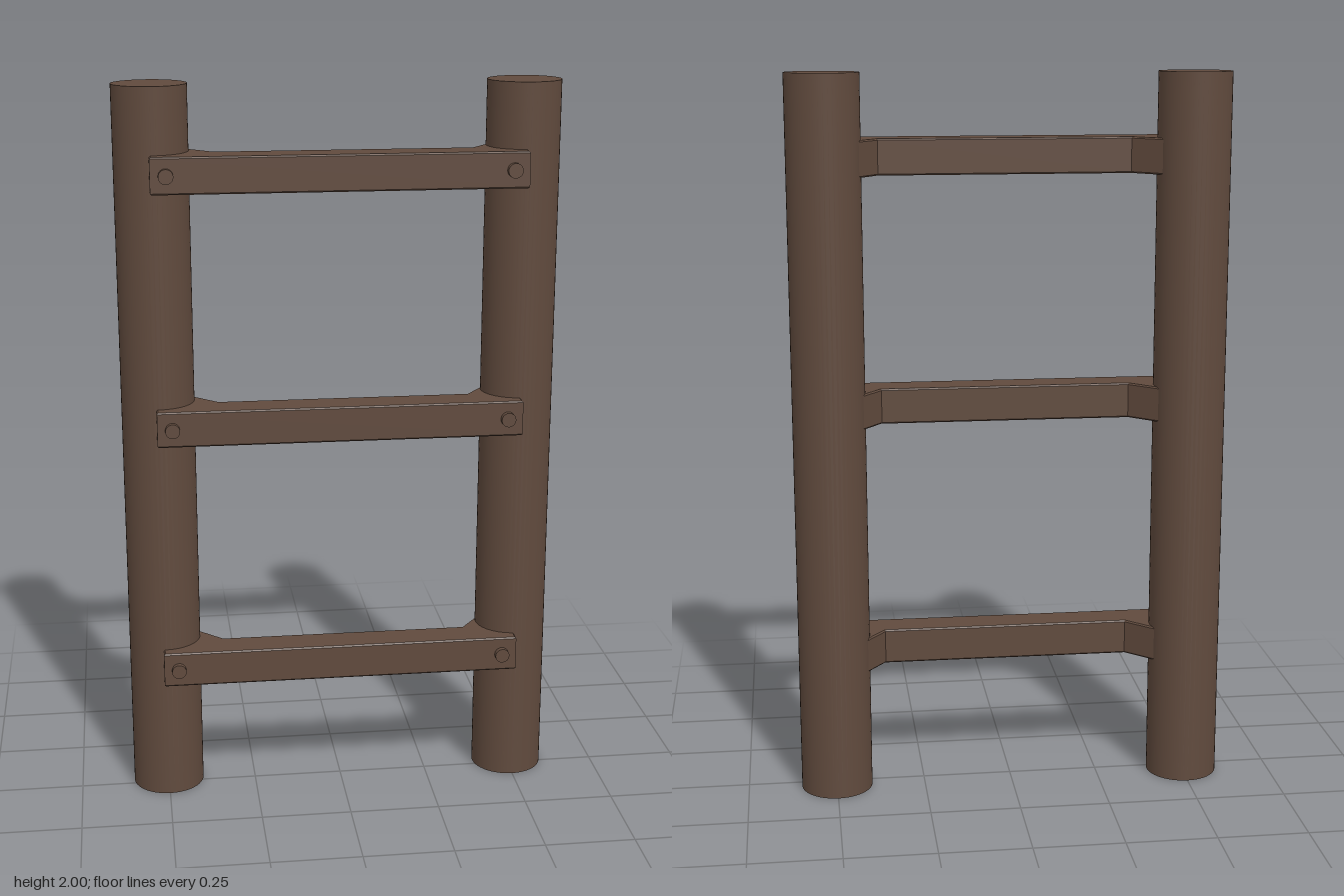
import * as THREE from 'three';

export function createModel() {
  const group = new THREE.Group();
  group.name = 'ladder';
  const wood = new THREE.MeshStandardMaterial({ color: 0x604a3d });
  wood.name = 'dark brown wood';

  const add = (parent, name, geometry, x, y, z) => {
    const mesh = new THREE.Mesh(geometry, wood);
    mesh.name = name;
    mesh.position.set(x, y, z);
    parent.add(mesh);
    return mesh;
  };

  // Round upright posts
  const post = new THREE.CylinderGeometry(0.1, 0.1, 2, 48);
  add(group, 'leftPost', post, 0.5, 1, -0.025);
  add(group, 'rightPost', post, -0.5, 1, -0.025);

  // Rung outline seen from above: a flat bar with sloped braces into the posts
  const bevel = 0.004;
  const outline = [
    [-0.507, 0.108], [0.493, 0.108], [0.493, 0.01], [0.46, -0.07],
    [0.414, -0.07], [0.354, 0.01], [-0.335, 0.01], [-0.414, -0.068],
    [-0.46, -0.068], [-0.507, 0.01],
  ];
  const shape = new THREE.Shape(outline.map(([x, z]) => new THREE.Vector2(x, -z)));
  const rungGeometry = new THREE.ExtrudeGeometry(shape, {
    depth: 0.098 - 2 * bevel,
    bevelEnabled: true,
    bevelThickness: bevel,
    bevelSize: bevel,
    bevelOffset: -bevel,
    bevelSegments: 1,
  });
  rungGeometry.rotateX(-Math.PI / 2);
  rungGeometry.translate(0, bevel - 0.049, 0);

  // Short bolt heads on the front of each rung end
  const boltGeometry = new THREE.CylinderGeometry(0.02, 0.02, 0.03, 20);
  boltGeometry.rotateX(Math.PI / 2);

  [0.396, 1.094, 1.775].forEach((y, i) => {
    const rung = new THREE.Group();
    rung.name = `rung${i + 1}`;
    rung.position.y = y;
    add(rung, 'crossbar', rungGeometry, 0, 0, 0);
    add(rung, 'leftBolt', boltGeometry, 0.451, 0, 0.108);
    add(rung, 'rightBolt', boltGeometry, -0.466, 0, 0.108);
    group.add(rung);
  });

  return group;
}
